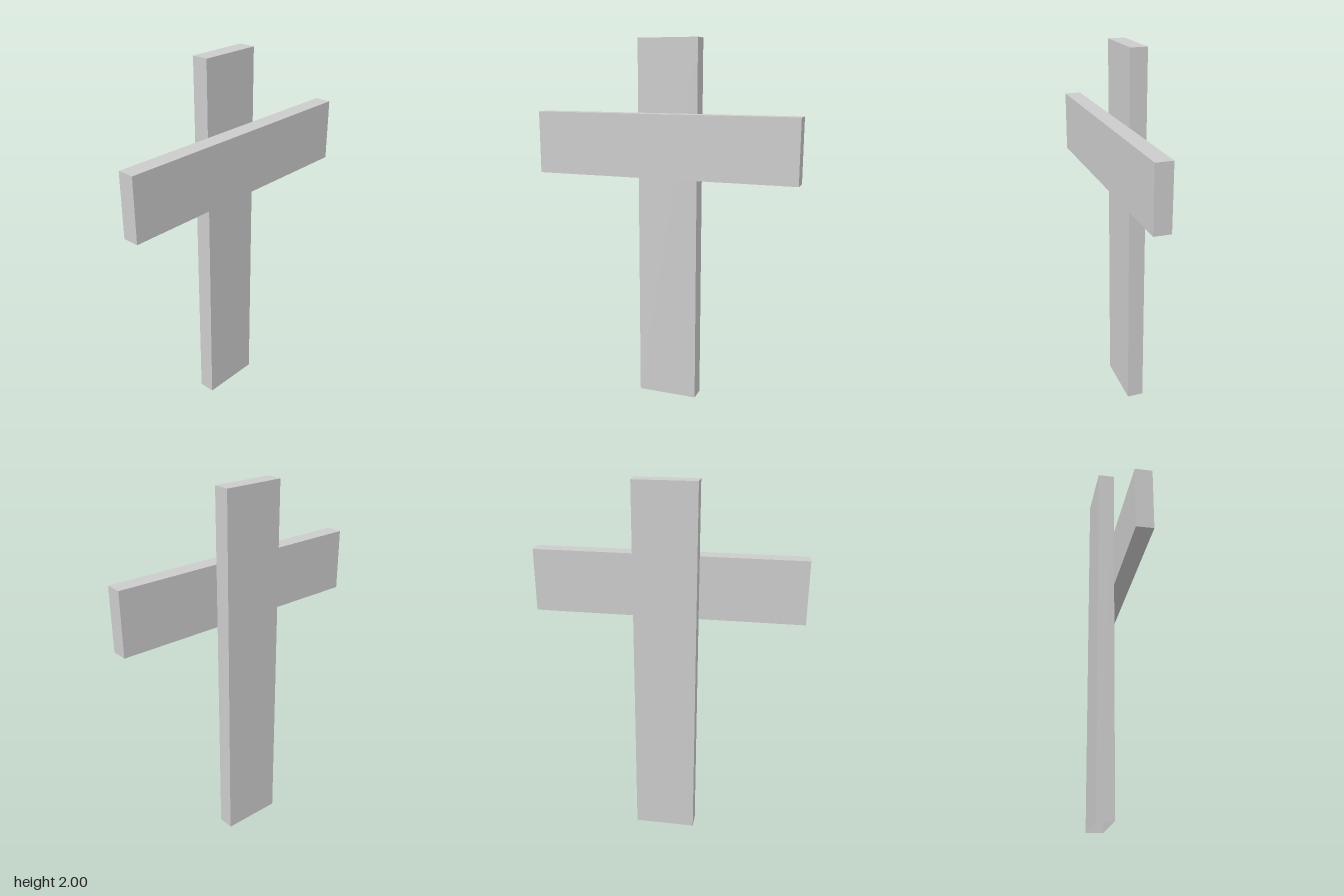
import * as THREE from 'three';

const material = new THREE.MeshStandardMaterial({
  color: 0xcccccc, flatShading: true, side: THREE.DoubleSide,
});

function plank(name, width, height, depth, x, y, z) {
  const mesh = new THREE.Mesh(new THREE.BoxGeometry(width, height, depth), material);
  mesh.name = name;
  mesh.position.set(x, y, z);
  return mesh;
}

export function createModel() {
  const group = new THREE.Group();
  group.name = 'cross';

  // Upright plank, hollow with an open underside
  const post = plank('post', 0.335, 2, 0.09, 0, 1, -0.045);
  const index = Array.from(post.geometry.index.array);
  index.splice(18, 6); // drop the bottom face
  post.geometry.setIndex(index);
  post.geometry.clearGroups();
  group.add(post);

  // Horizontal plank fixed to the front of the post
  group.add(plank('crossbar', 1.455, 0.34, 0.09, 0, 1.44, 0.045));

  return group;
}
